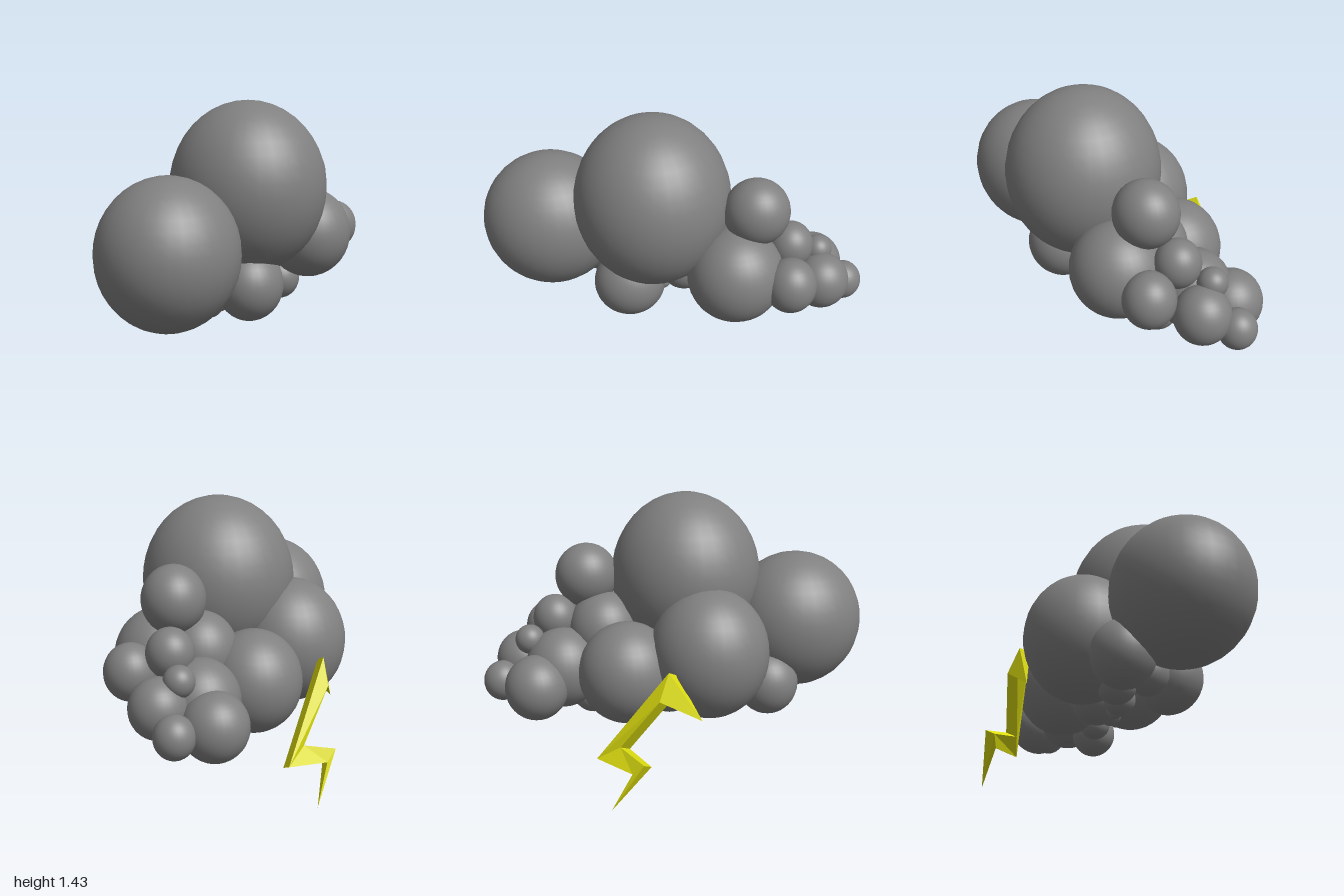
import * as THREE from 'three';

const cloudGrey = new THREE.MeshStandardMaterial({ color: 0x808080 });
cloudGrey.name = 'cloudGrey';
const boltYellow = new THREE.MeshStandardMaterial({ color: 0xdcdc10, side: THREE.DoubleSide });
boltYellow.name = 'boltYellow';

// Each puff: name, centre, radii
const puffs = [
  ['frontPuff', [-0.137, 0.742, 0.635], [0.342, 0.367, 0.362]],
  ['mainPuff', [0.102, 0.987, 0.095], [0.402, 0.442, 0.396]],
  ['rightPuff', [-0.28, 0.67, 0.055], [0.302, 0.335, 0.305]],
  ['leftPuff', [0.343, 0.685, -0.31], [0.235, 0.247, 0.243]],
  ['rearRightPuff', [-0.12, 0.57, -0.33], [0.245, 0.262, 0.25]],
  ['rearMiddlePuff', [0.14, 0.73, -0.36], [0.185, 0.2, 0.187]],
  ['rearTopPuff', [0.26, 1.0, -0.41], [0.157, 0.17, 0.165]],
  ['rearLeftPuff', [0.445, 0.683, -0.57], [0.13, 0.142, 0.13]],
  ['tailUpperPuff', [0.25, 0.79, -0.592], [0.116, 0.124, 0.115]],
  ['tailCorePuff', [0.11, 0.56, -0.6], [0.195, 0.21, 0.195]],
  ['tailLeftPuff', [0.28, 0.582, -0.762], [0.14, 0.147, 0.142]],
  ['tailRightPuff', [0.022, 0.505, -0.768], [0.162, 0.167, 0.16]],
  ['tailTipPuff', [0.185, 0.507, -0.903], [0.097, 0.104, 0.097]],
  ['tailSmallPuff', [0.185, 0.71, -0.75], [0.075, 0.077, 0.075]],
  ['underFrontRightPuff', [-0.295, 0.465, 0.39], [0.16, 0.17, 0.16]],
  ['underFrontLeftPuff', [0.147, 0.51, 0.222], [0.172, 0.185, 0.187]],
  ['underRearPuff', [0.16, 0.385, -0.42], [0.115, 0.122, 0.12]],
  ['underMiddlePuff', [-0.08, 0.44, -0.08], [0.14, 0.14, 0.14]],
  ['underSidePuff', [-0.18, 0.4, 0.2], [0.1, 0.098, 0.1]],
  ['underForwardPuff', [-0.06, 0.46, 0.29], [0.11, 0.11, 0.11]],
  ['underSmallPuff', [-0.1, 0.365, 0.125], [0.08, 0.08, 0.08]],
  ['underBackPuff', [0.065, 0.385, -0.285], [0.08, 0.08, 0.08]],
  ['underLeftSmallPuff', [0.075, 0.41, -0.165], [0.06, 0.06, 0.06]],
  ['underTinyPuff', [-0.06, 0.34, 0.04], [0.042, 0.042, 0.042]],
];

// Zigzag bolt: stations along the zigzag, each with its two edges; both tips close to a point
function boltGeometry() {
  const stations = [
    [[-0.51, 0.415, -0.09], [-0.51, 0.415, -0.09], 0],
    [[-0.45, 0.66, -0.22], [-0.477, 0.53, -0.28], 0.035],
    [[-0.297, 0.203, -0.54], [-0.365, 0.275, -0.44], 0.037],
    [[-0.485, 0.185, -0.43], [-0.525, 0.24, -0.385], 0.03],
    [[-0.455, 0, -0.55], [-0.455, 0, -0.55], 0],
  ];
  const normal = new THREE.Vector3(0.4, -0.45, 0.8).normalize();
  const rings = stations.map(([a, b, half]) => {
    const corner = (p, s) => new THREE.Vector3(...p).addScaledVector(normal, s * half);
    return [corner(a, 1), corner(b, 1), corner(b, -1), corner(a, -1)];
  });
  const points = [];
  for (let i = 0; i < rings.length - 1; i++) {
    for (let j = 0; j < 4; j++) {
      const k = (j + 1) % 4;
      const [p, q, r, s] = [rings[i][j], rings[i][k], rings[i + 1][k], rings[i + 1][j]];
      if (i > 0) points.push(p, r, q);
      if (i < rings.length - 2) points.push(p, s, r);
      else points.push(p, s, q);
      if (i === 0) points.splice(-3, 3, p, s, r);
    }
  }
  const geometry = new THREE.BufferGeometry().setFromPoints(points);
  geometry.computeVertexNormals();
  return geometry;
}

export function createModel() {
  const model = new THREE.Group();
  model.name = 'stormCloud';

  const cloud = new THREE.Group();
  cloud.name = 'cloud';
  const ball = new THREE.SphereGeometry(1, 32, 20);
  for (const [name, centre, radii] of puffs) {
    const puff = new THREE.Mesh(ball, cloudGrey);
    puff.name = name;
    puff.position.set(...centre);
    puff.scale.set(...radii);
    cloud.add(puff);
  }
  model.add(cloud);

  const bolt = new THREE.Mesh(boltGeometry(), boltYellow);
  bolt.name = 'lightningBolt';
  model.add(bolt);
  return model;
}
